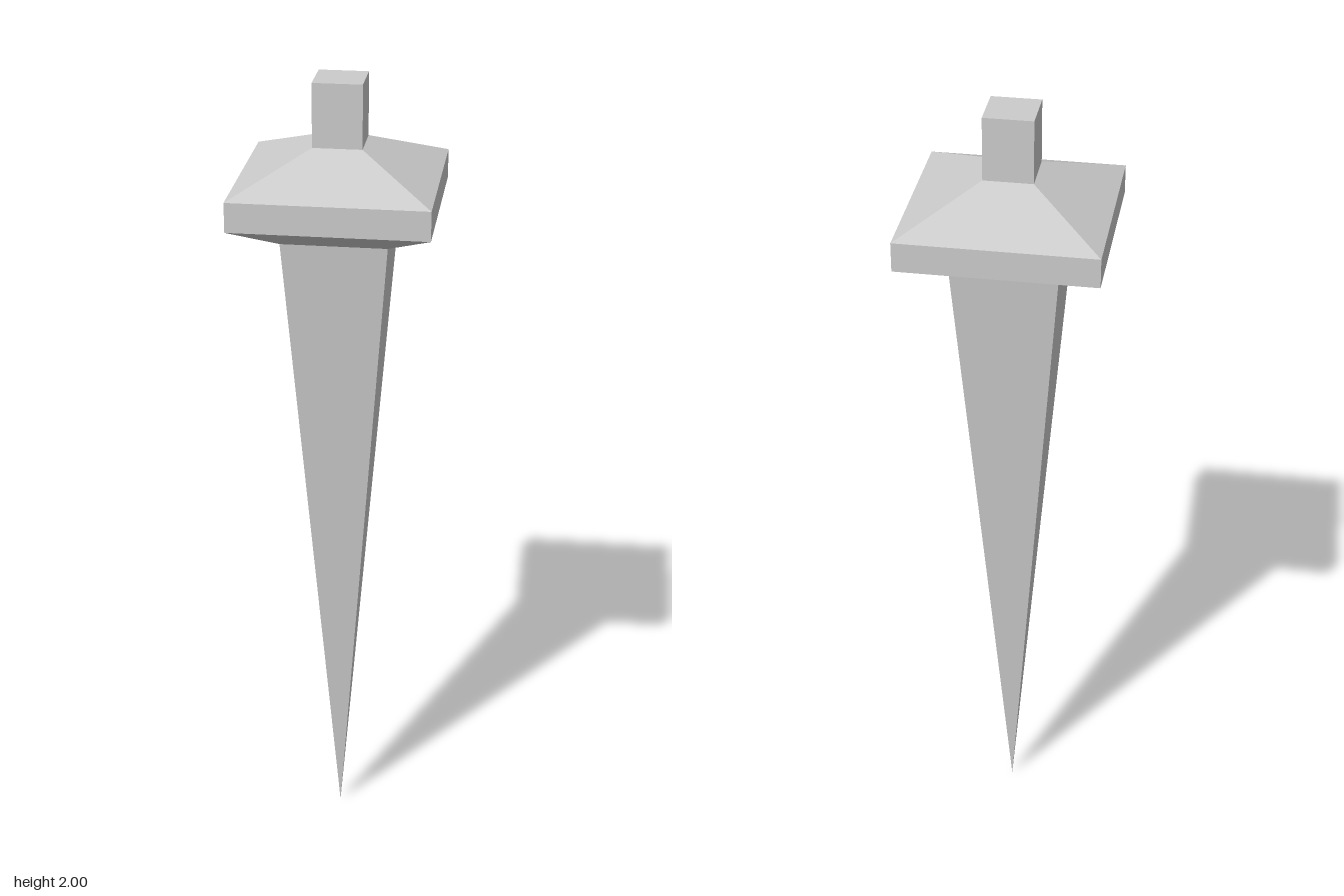
import * as THREE from 'three';

const material = new THREE.MeshStandardMaterial({ color: 0xcccccc, flatShading: true });

// Square section with straight sides, from half-width `low` at y0 to `high` at y1
function squareFrustum(name, y0, low, y1, high, open = true) {
  const geometry = new THREE.CylinderGeometry(
    high * Math.SQRT2, low * Math.SQRT2, y1 - y0, 4, 1, open);
  geometry.rotateY(Math.PI / 4);
  geometry.translate(0, (y0 + y1) / 2, 0);
  const mesh = new THREE.Mesh(geometry, material);
  mesh.name = name;
  return mesh;
}

export function createModel() {
  const model = new THREE.Group();
  model.name = 'spike';

  // Long blade tapering to a point on the ground
  model.add(squareFrustum('blade', 0, 0, 1.64, 0.125));

  // Collar: flared underside, upright rim, sloping top
  const collar = new THREE.Group();
  collar.name = 'collar';
  collar.add(
    squareFrustum('collarUnderside', 1.64, 0.125, 1.7, 0.232),
    squareFrustum('collarRim', 1.7, 0.232, 1.77, 0.232),
    squareFrustum('collarTop', 1.77, 0.232, 1.85, 0.058),
  );
  model.add(collar);

  // Short square stub on top
  model.add(squareFrustum('stub', 1.85, 0.058, 2, 0.058, false));

  return model;
}
